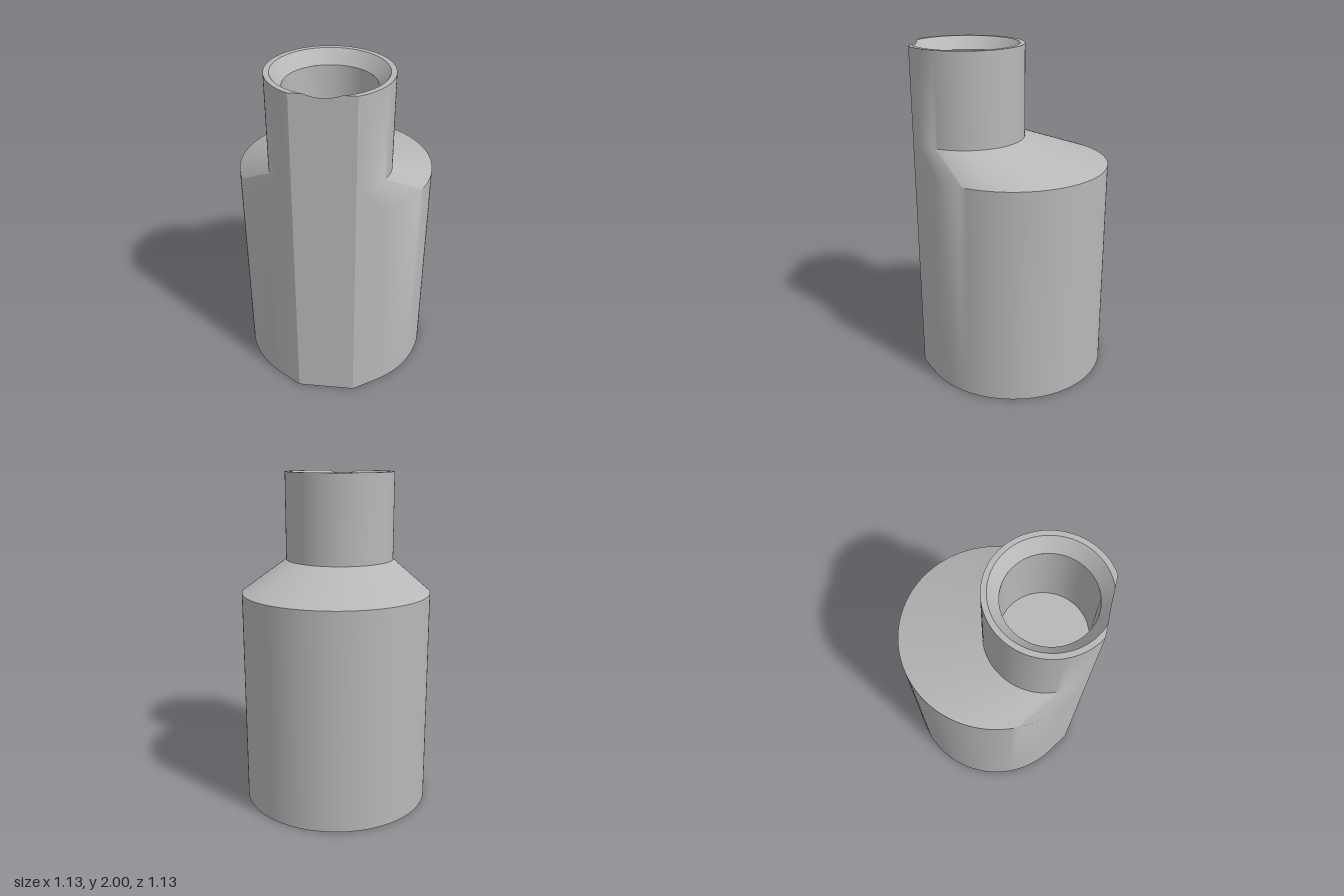
import * as THREE from 'three';
import { toCreasedNormals } from 'three/addons/utils/BufferGeometryUtils.js';

const R = 0.566, H = 1.305;                        // body radius and shoulder start
const r = 0.34, OFF = 0.27, NECK = 1.46, TOP = 2;  // neck radius, offset and heights
const FLAT = 0.565;                                // plane that cuts the front
const MOUTH = 0.31, BORE = 0.25, SEAT = 1.925;     // chamfered mouth
const CAVITY = 0.475;

const gap = FLAT - OFF;
const corner = Math.asin(gap / r);                 // where the neck meets the flat
const tangent = Math.asin((R - r) / OFF);          // where body and neck share a tangent

const bodyAt = a => [R * Math.cos(a), R * Math.sin(a)];
const neckAt = a => [r * Math.cos(a), Math.min(FLAT, OFF + r * Math.sin(a))];

// Strip of quads between successive rings of [x, y, z] points
function loft(rings) {
  const pos = [];
  for (let k = 0; k + 1 < rings.length; k++) {
    for (let i = 0; i + 1 < rings[k].length; i++) {
      const a = rings[k][i], b = rings[k][i + 1], c = rings[k + 1][i + 1], d = rings[k + 1][i];
      for (const tri of [[a, b, c], [a, c, d]]) {
        const v = tri.map(p => new THREE.Vector3(...p));
        if (new THREE.Triangle(...v).getArea() > 1e-8) pos.push(...tri.flat());
      }
    }
  }
  const g = new THREE.BufferGeometry();
  g.setAttribute('position', new THREE.Float32BufferAttribute(pos, 3));
  g.computeVertexNormals();
  return g;
}

const shapeOf = pts => new THREE.Shape(pts.map(p => new THREE.Vector2(...p)));

function lathe(points) {
  const g = new THREE.LatheGeometry(points.map(p => new THREE.Vector2(...p)), 96);
  return toCreasedNormals(g, 0.6);
}

export function createModel() {
  const group = new THREE.Group();
  const grey = new THREE.MeshStandardMaterial({ color: 0xb8b8b8, side: THREE.DoubleSide });
  grey.name = 'grey';
  const add = (name, geometry) => {
    const mesh = new THREE.Mesh(geometry, grey);
    mesh.name = name;
    group.add(mesh);
    return mesh;
  };

  // Outer wall: round body, offset shoulder and neck, open where the flat cuts it
  const columns = [];
  const column = (a, low) => columns.push({ low: low(a), high: neckAt(a) });
  const N = 112, end = -Math.PI - tangent;
  column(corner, neckAt);
  column(tangent, neckAt);
  for (let i = 0; i <= N; i++) column(tangent + (end - tangent) * i / N, bodyAt);
  column(end, neckAt);
  column(-Math.PI - corner, neckAt);
  const ring = (key, y) => columns.map(c => [c[key][0], y, c[key][1]]);
  add('outerWall', toCreasedNormals(
    loft([ring('low', 0), ring('low', H), ring('high', NECK), ring('high', TOP)]), 0.6));

  // Chamfered mouth, its front edge dipping where the flat cuts through it
  const lip = [], seat = [];
  for (let i = 0; i <= 144; i++) {
    const a = Math.PI / 2 - i / 144 * Math.PI * 2;
    const s = Math.sin(a);
    const m = s > 0 ? Math.min(MOUTH, gap / s) : MOUTH;
    const y = SEAT + (m - BORE) / (MOUTH - BORE) * (TOP - SEAT);
    lip.push([m * Math.cos(a), y, OFF + m * s]);
    seat.push([BORE * Math.cos(a), SEAT, OFF + BORE * s]);
  }
  add('mouthChamfer', toCreasedNormals(loft([lip, seat]), 0.6));

  // Flat front with the small scoop at its top edge
  const half = r * Math.cos(corner);
  const edge = Math.sqrt(MOUTH * MOUTH - gap * gap);
  const scoop = lip.filter(p => p[1] < TOP - 1e-6 && p[2] > FLAT - 1e-6)
    .map(p => [p[0], p[1]]).sort((p, q) => q[0] - p[0]);
  scoop.pop === undefined || add('frontFlat', new THREE.ShapeGeometry(shapeOf([
    [-half, 0], [half, 0], [half, TOP], [edge, TOP],
    ...scoop.filter((p, i) => i === 0 || scoop[i - 1][0] - p[0] > 1e-5),
    [-edge, TOP], [-half, TOP],
  ]))).position.set(0, 0, FLAT);

  // Neck rim, open at the front
  const inner = lip.filter(p => p[1] > TOP - 1e-6).map(p => [p[0], -p[2]]).reverse();
  const rim = new THREE.ShapeGeometry(shapeOf([
    ...columns.map(c => [c.high[0], -c.high[1]])
      .filter((p, i, all) => i === 0 || Math.hypot(p[0] - all[i - 1][0], p[1] - all[i - 1][1]) > 1e-5),
    [-edge, -FLAT], ...inner, [edge, -FLAT],
  ]));
  rim.rotateX(-Math.PI / 2);
  add('neckRim', rim).position.y = TOP;

  // Bottom rim around the cavity
  const base = shapeOf(columns.map(c => c.low));
  base.holes.push(new THREE.Path().absarc(0, 0, CAVITY, 0, Math.PI * 2, true));
  const bottom = new THREE.ShapeGeometry(base, 48);
  bottom.rotateX(Math.PI / 2);
  add('bottomRim', bottom);

  // Blind bore in the neck and hollow in the body
  add('neckBore', lathe([[BORE, SEAT], [BORE, NECK], [0, NECK]])).position.z = OFF;
  add('bodyCavity', lathe([[0, 1.25], [CAVITY, 1.25], [CAVITY, 0]]));

  return group;
}
